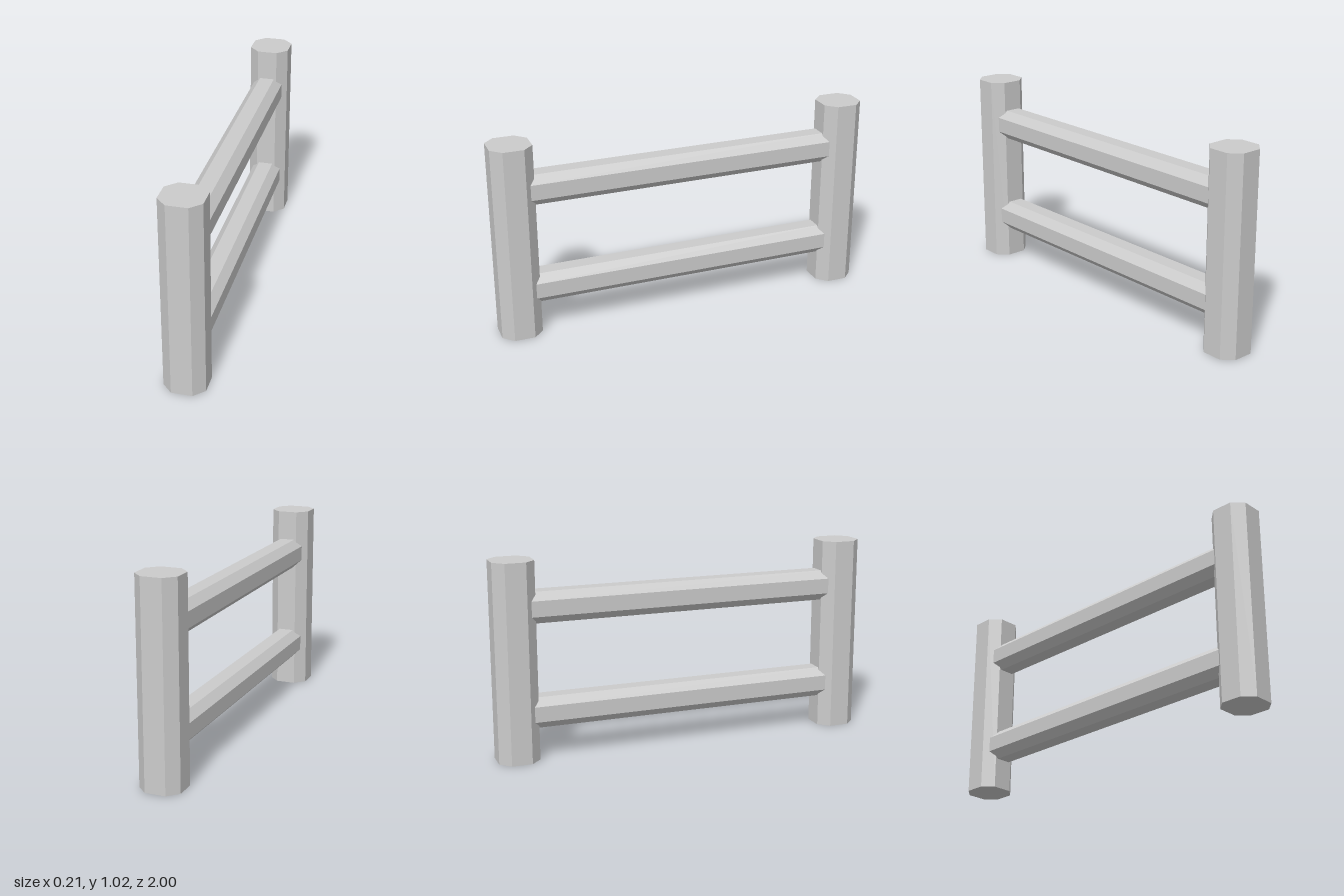
import * as THREE from 'three';

const material = new THREE.MeshStandardMaterial({ color: 0xcccccc, flatShading: true });

// Square bar with chamfered corners, extruded along +z and centred
function chamferedBar(half, flat, length) {
  const shape = new THREE.Shape([
    [half, -flat], [half, flat], [flat, half], [-flat, half],
    [-half, flat], [-half, -flat], [-flat, -half], [flat, -half],
  ].map(([x, y]) => new THREE.Vector2(x, y)));
  const geometry = new THREE.ExtrudeGeometry(shape, { depth: length, bevelEnabled: false });
  return geometry.translate(0, 0, -length / 2);
}

export function createModel() {
  const fence = new THREE.Group();
  fence.name = 'fence';

  const height = 1.025, postHalf = 0.106, postZ = 1 - postHalf;
  const postGeometry = chamferedBar(postHalf, 0.053, height).rotateX(-Math.PI / 2);
  const railGeometry = chamferedBar(0.08, 0.04, 2 * postZ);

  // Upright posts at both ends
  for (const [name, z] of [['frontPost', postZ], ['backPost', -postZ]]) {
    const post = new THREE.Mesh(postGeometry, material);
    post.name = name;
    post.position.set(0, height / 2, z);
    fence.add(post);
  }

  // Horizontal rails, ending inside the posts
  for (const [name, y] of [['lowerRail', 0.245], ['upperRail', 0.785]]) {
    const rail = new THREE.Mesh(railGeometry, material);
    rail.name = name;
    rail.position.y = y;
    fence.add(rail);
  }

  return fence;
}
